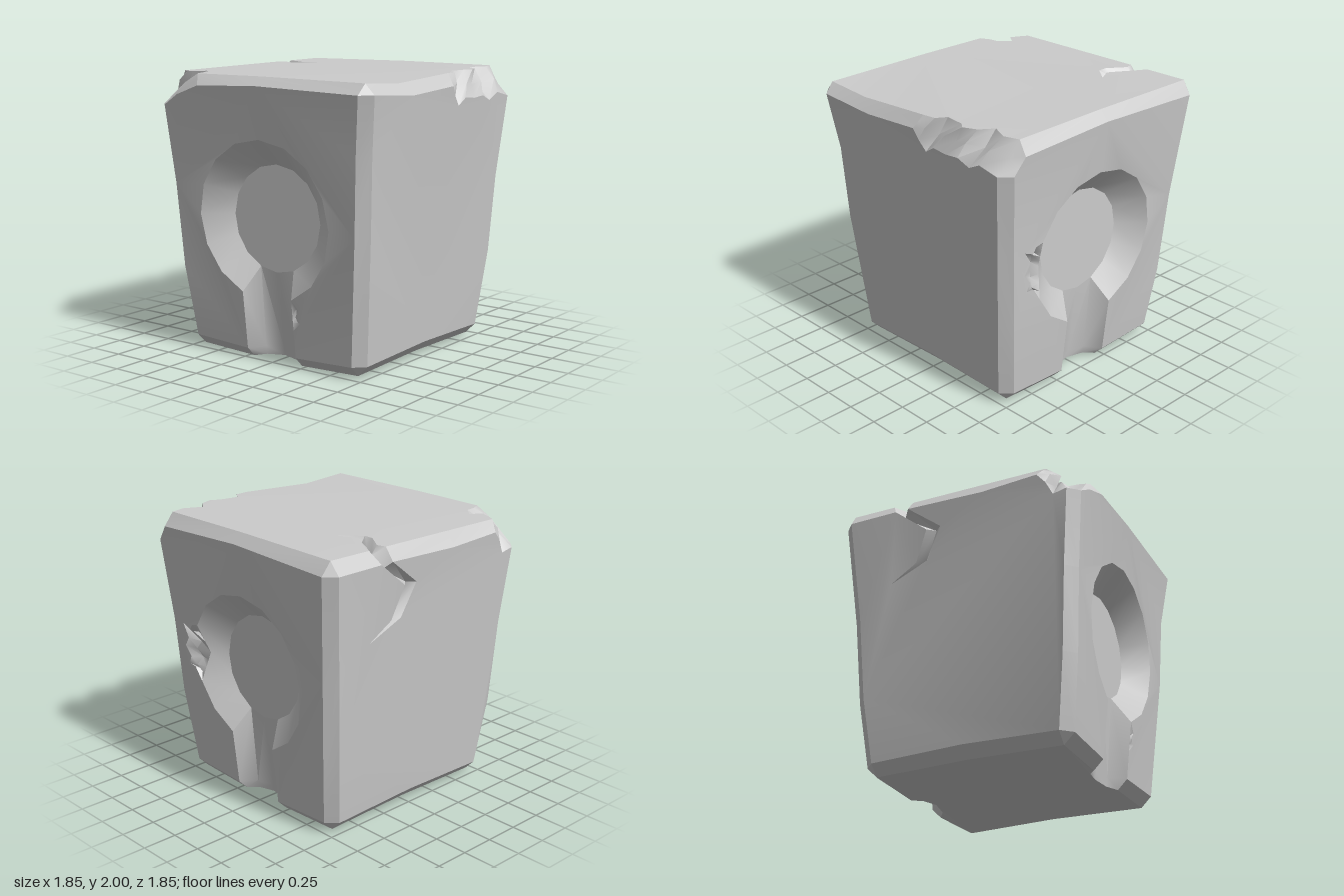
import * as THREE from 'three';
import { toCreasedNormals } from 'three/addons/utils/BufferGeometryUtils.js';

const material = new THREE.MeshStandardMaterial({ color: 0xcccccc });
const CHAMFER = 0.075, FLOOR = 0.69, GROOVE = 0.214, RIM = 0.86;

// half width of the tapering block at height y
const PROFILE = [[0.09, 0.76], [0.6, 0.82], [1.1, 0.85], [1.5, 0.87], [1.9, 0.925]];
function halfWidth(y) {
  if (y <= PROFILE[0][0]) return PROFILE[0][1];
  for (let i = 1; i < PROFILE.length; i++) {
    const [y0, h0] = PROFILE[i - 1], [y1, h1] = PROFILE[i];
    if (y <= y1) return h0 + (h1 - h0) * (y - y0) / (y1 - y0);
  }
  return PROFILE.at(-1)[1];
}

// points on the side, front/back and top surfaces, and on the chamfered corners
const onX = (s, y, z) => [s * halfWidth(y), y, z];
const onZ = (s, x, y) => [x, y, s * halfWidth(y)];
const onTop = (x, z) => [x, 1.98 + 0.012 * x + 0.01 * (1 - z * z), z];
const cornerX = (sx, sz, y) => onX(sx, y, sz * (halfWidth(y) - CHAMFER));
const cornerZ = (sx, sz, y) => onZ(sz, sx * (halfWidth(y) - CHAMFER), y);
const foot = (sx, sz) => [sx * 0.685, 0.015, sz * 0.685];
const mirrorX = (s, p) => [s * p[0], p[1], p[2]];
const lerp = (a, b, t) => a.map((v, i) => v + (b[i] - v) * t);

// heights along each vertical corner; chipped corners stop lower
const CORNERS = [
  { sx: -1, sz: 1, ys: [0.09, 0.97, 1.5, 1.9] },
  { sx: 1, sz: 1, ys: [0.09, 0.65, 1.2, 1.785] },
  { sx: 1, sz: -1, ys: [0.09, 0.55, 1.15, 1.9] },
  { sx: -1, sz: -1, ys: [0.09, 0.6, 1.2, 1.75] },
];
const cornerYs = (sx, sz) => CORNERS.find((c) => c.sx === sx && c.sz === sz).ys;
const edgeX = (sx, sz) => cornerYs(sx, sz).map((y) => cornerX(sx, sz, y));
const edgeZ = (sx, sz) => cornerYs(sx, sz).map((y) => cornerZ(sx, sz, y));

// mesh from triangles, turned so that it faces along the outward direction
function makeMesh(name, tris, outward) {
  const out = new THREE.Vector3(...outward), sum = new THREE.Vector3();
  const good = [];
  for (const t of tris) {
    const [a, b, c] = t.map((p) => new THREE.Vector3(...p));
    const n = b.sub(a).cross(c.sub(a));
    if (n.length() < 1e-9) continue;
    sum.add(n);
    good.push(t);
  }
  const flip = sum.dot(out) < 0;
  const pos = good.flatMap(([a, b, c]) => (flip ? [a, c, b] : [a, b, c])).flat();
  const geo = new THREE.BufferGeometry();
  geo.setAttribute('position', new THREE.Float32BufferAttribute(pos, 3));
  const mesh = new THREE.Mesh(toCreasedNormals(geo, 0.9), material);
  mesh.name = name;
  return mesh;
}

// flat-ish panel: outline triangulated as seen along an axis (0 x, 1 y, 2 z)
function panel(name, pts, axis, sign) {
  const flat = pts.map((p) => new THREE.Vector2(...p.filter((_, i) => i !== axis)));
  const turned = THREE.ShapeUtils.isClockWise(flat);
  if (turned) { flat.reverse(); pts = [...pts].reverse(); }
  const outward = [0, 0, 0];
  outward[axis] = sign;
  return makeMesh(name, THREE.ShapeUtils.triangulateShape(flat, []).map((f) => f.map((i) => pts[i])), outward);
}

// skin over rows with the same number of points
function loft(name, rows, outward) {
  const tris = [];
  for (let r = 0; r < rows.length - 1; r++) {
    for (let i = 0; i < rows[r].length - 1; i++) {
      const a = rows[r][i], b = rows[r][i + 1], c = rows[r + 1][i + 1], d = rows[r + 1][i];
      tris.push([a, b, c], [a, c, d]);
    }
  }
  return makeMesh(name, tris, outward);
}

// rough broken surface between two rims, its middle row alternately raised and sunk
function chip(name, a, b, outward, rough, sink = 0) {
  const o = new THREE.Vector3(...outward).normalize().toArray();
  const middle = a.map((p, i) => {
    const end = i === 0 || i === a.length - 1;
    const d = end ? 0 : (i % 2 ? rough : -rough) - sink;
    return lerp(p, b[i], i % 2 ? 0.45 : 0.55).map((v, k) => v + o[k] * d);
  });
  return loft(name, [a, middle, b], outward);
}

export function createModel() {
  const block = new THREE.Group();
  block.name = 'stoneBlock';
  const add = (...m) => block.add(...m);

  // broken front top edge: lower rim on the front, upper rim on the top
  const frontLow = [[0.07, 1.9], [0.11, 1.83], [0.17, 1.76], [0.25, 1.81], [0.37, 1.8], [0.48, 1.81],
    [0.58, 1.77], [0.68, 1.82]].map(([x, y]) => onZ(1, x, y));
  const frontHigh = [[0.1, 0.86], [0.2, 0.85], [0.25, 0.78], [0.4, 0.8], [0.45, 0.84], [0.55, 0.8],
    [0.62, 0.71], [0.75, 0.77], [0.86, 0.74]].map(([x, z]) => onTop(x, z));
  const frontChipEnd = onX(1, 1.9, 0.75);
  add(chip('frontEdgeChip', [...frontLow, cornerZ(1, 1, 1.785), cornerX(1, 1, 1.785)],
    [...frontHigh, frontChipEnd], [0.2, 1, 1], 0.02));

  // broken back corner
  const backLow = [[-0.62, 1.9], [-0.68, 1.83], [-0.73, 1.73]].map(([x, y]) => onZ(-1, x, y));
  const sideLow = [[1.83, -0.7], [1.9, -0.5]].map(([y, z]) => onX(-1, y, z));
  const backHigh = [[-0.66, -RIM], [-0.69, -0.8], [-0.72, -0.73], [-0.64, -0.67], [-0.71, -0.59],
    [-0.79, -0.58], [-RIM, -0.55]].map(([x, z]) => onTop(x, z));
  add(chip('backCornerChip', [...backLow, cornerZ(-1, -1, 1.75), cornerX(-1, -1, 1.75), ...sideLow],
    backHigh, [-1, 1, -1], 0.025));

  // crack running over the back edge
  const crackTop = [[0.45, 0.45, -0.47], [0.31, 0.38, -0.6], [0.31, 0.42, -0.67], [0.4, 0.5, -0.8], [0.38, 0.53, -RIM]];
  const crackBack = [[0.38, 0.48, 1.9], [0.13, 0.24, 1.71], [0.24, 0.33, 1.48], [0.53, 0.53, 1.36]];
  const rims = [0, 1].map((k) => ({
    top: crackTop.map((c) => onTop(c[k], c[2])),
    back: crackBack.map((c) => onZ(-1, c[k], c[2])),
  }));
  const [low, high] = rims.map((r) => [...r.top, ...r.back]);
  const valley = low.map((p, i) => {
    const m = lerp(p, high[i], 0.5);
    if (i === 0 || i === low.length - 1) return m;
    return [m[0], m[1] - (i < 6 ? 0.05 : 0), m[2] + (i > 3 ? 0.05 : 0)];
  });
  add(loft('crack', [low, valley, high], [0, 1, -1]));

  // front, back, top and bottom panels
  add(panel('frontFace', [...edgeZ(-1, 1), onZ(1, -0.4, 1.87), ...frontLow,
    ...edgeZ(1, 1).reverse(), onZ(1, 0, 0.11)], 2, 1));
  add(panel('backFace', [...edgeZ(1, -1), ...rims[1].back, ...rims[0].back.slice(0, -1).reverse(),
    onZ(-1, -0.2, 1.88), ...backLow, ...edgeZ(-1, -1).reverse(), onZ(-1, 0, 0.11)], 2, -1));
  const frontDip = [-0.5, 1.95, RIM];
  add(panel('topFace', [onTop(-RIM, RIM), frontDip, ...frontHigh, onTop(RIM, 0), onTop(RIM, -RIM),
    ...[...rims[1].top].reverse(), ...rims[0].top.slice(1), onTop(-0.2, -RIM), ...backHigh, onTop(-RIM, 0)], 1, 1));
  const grooveFoot = [[0.69, 0, -GROOVE], [0.635, 0.01, -0.14], [0.61, 0.02, 0], [0.635, 0.01, 0.14], [0.69, 0, GROOVE]];
  const feet = (s) => grooveFoot.map((p) => mirrorX(s, p));
  add(panel('bottomFace', [foot(-1, 1), [0, 0.03, 0.685], foot(1, 1), ...feet(1).reverse(), foot(1, -1),
    [0, 0.03, -0.685], foot(-1, -1), ...feet(-1)], 1, -1));

  // sides, each with a round dished recess and a groove running down from it
  for (const s of [1, -1]) {
    const side = s > 0 ? 'right' : 'left';
    const ring = (r, place) => Array.from({ length: 15 }, (_, i) => {
      const t = (i + 1) * Math.PI / 8;
      return place(1 - r * Math.cos(t), -r * Math.sin(t));
    });
    const outer = ring(0.56, (y, z) => onX(s, y, z));
    const inner = ring(0.375, (y, z) => [s * FLOOR, y, z]);
    let rim = outer;
    let grooveRim = [];
    if (s > 0) {
      // broken recess rim
      const broken = [[1.2, 0.58], [1.16, 0.605], [1.19, 0.68], [1.09, 0.63], [1.02, 0.675], [0.95, 0.62],
        [0.89, 0.645], [0.88, 0.58]].map(([y, z]) => onX(s, y, z));
      rim = [...outer.slice(0, 11), ...broken, ...outer.slice(12)];
      outer[11] = lerp(outer[11], inner[11], 0.45);
      const jag = [outer[10], ...broken, outer[12]];
      const wall = jag.map((_, i) => (i < 5 ? lerp(outer[10], outer[11], i / 5) : lerp(outer[11], outer[12], (i - 5) / 4)));
      add(chip('recessRimChip', jag, wall, [1, 0, -0.4], 0.015, 0.02));
    } else {
      // small break on the groove edge
      grooveRim = [[0.42, 0.27], [0.37, 0.24], [0.33, 0.28], [0.27, GROOVE]].map(([y, z]) => onX(s, y, z));
      const jag = [outer[14], ...grooveRim];
      const line = jag.map((_, i) => lerp(outer[14], jag[4], i / 4));
      add(chip('grooveEdgeChip', jag, line, [-1, 0, 0], 0.01, 0.02));
    }
    const topEdge = s > 0 ? [frontChipEnd, onX(s, 1.93, 0)] : [onX(s, 1.92, 0), ...[...sideLow].reverse()];
    add(panel(side + 'Face', [...edgeX(s, 1), ...topEdge, ...edgeX(s, -1).reverse(),
      onX(s, 0.07, -GROOVE), ...rim, ...grooveRim, onX(s, 0.07, GROOVE)], 0, s));
    add(loft(side + 'RecessWall', [outer, inner], [s, 0, 0]));
    const floorFoot = [s * FLOOR, 0.625, 0];
    add(panel(side + 'RecessFloor', [floorFoot, ...inner], 0, s));
    const lowRow = feet(s).map((p, i) => (i % 4 ? [p[0] + s * 0.01, 0.07, p[2]] : onX(s, 0.07, p[2])));
    add(loft(side + 'Groove', [[outer[0], inner[0], floorFoot, inner[14], outer[14]], lowRow, feet(s)], [s, 0, 0]));
    // bottom chamfer either side of the groove
    for (const sz of [1, -1]) {
      add(loft(side + 'BottomChamfer', [[cornerX(s, sz, 0.09), onX(s, 0.07, sz * GROOVE)],
        [foot(s, sz), [s * 0.69, 0, sz * GROOVE]]], [s, -1, 0]));
    }
  }

  // vertical corner chamfers and the small corner facets
  for (const { sx, sz, ys } of CORNERS) {
    add(loft('cornerChamfer', [edgeX(sx, sz), edgeZ(sx, sz)], [sx, 0, sz]));
    add(makeMesh('bottomCorner', [[cornerX(sx, sz, 0.09), cornerZ(sx, sz, 0.09), foot(sx, sz)]], [sx, -1, sz]));
    if (ys[3] === 1.9) {
      add(makeMesh('topCorner', [[cornerX(sx, sz, 1.9), cornerZ(sx, sz, 1.9), onTop(sx * RIM, sz * RIM)]], [sx, 1, sz]));
    }
  }

  // bottom chamfers at front and back
  for (const s of [1, -1]) {
    add(loft('bottomChamfer', [[cornerZ(-1, s, 0.09), onZ(s, 0, 0.11), cornerZ(1, s, 0.09)],
      [foot(-1, s), [0, 0.03, s * 0.685], foot(1, s)]], [0, -1, s]));
  }

  // top chamfers
  add(loft('frontTopChamfer', [[cornerZ(-1, 1, 1.9), onZ(1, -0.4, 1.87), frontLow[0]],
    [onTop(-RIM, RIM), frontDip, frontHigh[0]]], [0, 1, 1]));
  add(loft('rightTopChamfer', [[frontChipEnd, onX(1, 1.93, 0), cornerX(1, -1, 1.9)],
    [frontHigh[8], onTop(RIM, 0), onTop(RIM, -RIM)]], [1, 1, 0]));
  add(loft('leftTopChamfer', [[cornerX(-1, 1, 1.9), onX(-1, 1.92, 0), sideLow[1]],
    [onTop(-RIM, RIM), onTop(-RIM, 0), backHigh[6]]], [-1, 1, 0]));
  add(loft('backTopChamfer', [[cornerZ(1, -1, 1.9), rims[1].back[0]],
    [onTop(RIM, -RIM), rims[1].top[4]]], [0, 1, -1]));
  add(loft('backTopChamfer', [[rims[0].back[0], onZ(-1, -0.2, 1.88), backLow[0]],
    [rims[0].top[4], onTop(-0.2, -RIM), backHigh[0]]], [0, 1, -1]));
  return block;
}
